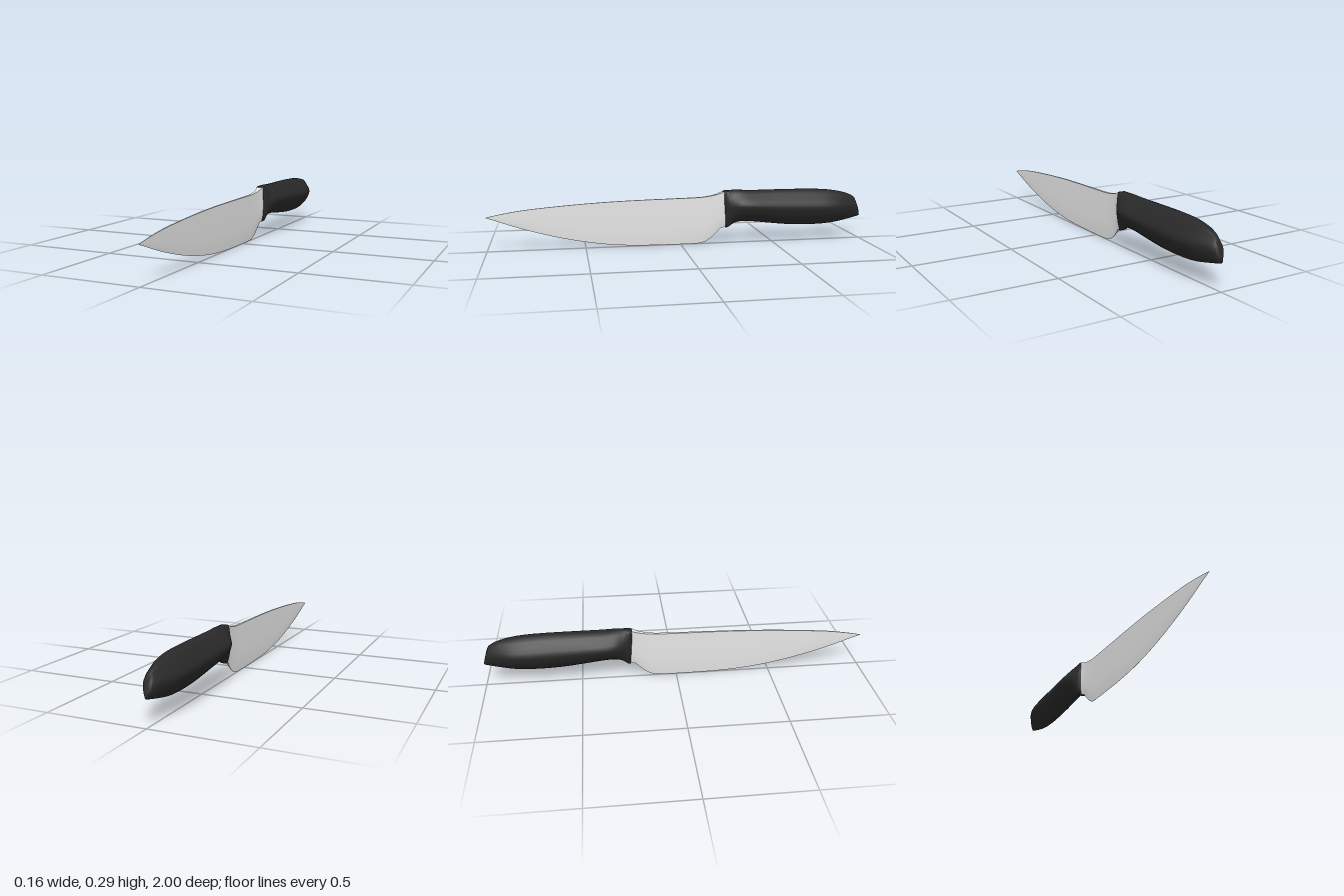
import * as THREE from 'three';
import { toCreasedNormals } from 'three/addons/utils/BufferGeometryUtils.js';

// Lofts a ring of points through rows [z, top, bottom, halfWidth, extra], smoothing between rows.
function loft(rows, section, steps, crease) {
  const smooth = (pick) => new THREE.CatmullRomCurve3(rows.map(pick), false, 'catmullrom', 0.5);
  const outline = smooth((r) => new THREE.Vector3(r[0], r[1], r[2]));
  const widths = smooth((r) => new THREE.Vector3(r[3], r[4], 0));
  const count = (rows.length - 1) * steps;
  const positions = [];
  const index = [];
  let n = 0;
  for (let i = 0; i <= count; i++) {
    const o = outline.getPoint(i / count);
    const w = widths.getPoint(i / count);
    const ring = section(o.x, o.y, o.z, Math.max(w.x, 0.0003), w.y);
    n = ring.length;
    ring.forEach((p) => positions.push(...p));
  }
  for (let i = 0; i < count; i++) {
    for (let j = 0; j < n; j++) {
      const a = i * n + j;
      const b = i * n + ((j + 1) % n);
      index.push(a, b, a + n, b, b + n, a + n);
    }
  }
  // End caps
  for (let j = 1; j < n - 1; j++) {
    index.push(0, j + 1, j);
    const e = count * n;
    index.push(e, e + j, e + j + 1);
  }
  const geometry = new THREE.BufferGeometry();
  geometry.setAttribute('position', new THREE.Float32BufferAttribute(positions, 3));
  geometry.setIndex(index);
  return toCreasedNormals(geometry, crease);
}

// Mirrors a half profile (top to bottom) into a closed ring.
const mirrored = (half) => [...half, ...half.slice().reverse().map(([x, y, z]) => [-x, y, z])];

// Handle half profile: [fraction of half width, fraction of height from the bottom]
const handleHalf = [
  [0.1, 1], [0.28, 0.985], [0.45, 0.9], [0.68, 0.78], [0.88, 0.67], [0.96, 0.6], [1, 0.53],
  [0.95, 0.45], [0.83, 0.33], [0.63, 0.2], [0.4, 0.09], [0.18, 0.01], [0.06, 0],
];

// Extra value = how far the bottom of the section leans back behind the top
const handleRows = [
  [-0.236, 0.282, 0.086, 0.023, 0.014],
  [-0.25, 0.285, 0.091, 0.037, 0.014],
  [-0.28, 0.287, 0.107, 0.057, 0.008],
  [-0.32, 0.286, 0.117, 0.074, 0],
  [-0.38, 0.283, 0.116, 0.081, 0],
  [-0.48, 0.283, 0.104, 0.08, 0],
  [-0.58, 0.283, 0.093, 0.08, 0],
  [-0.68, 0.282, 0.088, 0.08, 0],
  [-0.78, 0.278, 0.089, 0.08, 0],
  [-0.85, 0.27, 0.096, 0.072, 0.005],
  [-0.905, 0.26, 0.107, 0.055, 0.012],
  [-0.95, 0.246, 0.118, 0.037, 0.022],
  [-0.977, 0.23, 0.125, 0.024, 0.026],
  [-0.988, 0.205, 0.13, 0.013, 0.022],
];

// The teardrop section squares off at the front to meet the bolster
function handleSection(z, top, bottom, w, lean) {
  const power = 1 - 0.7 * THREE.MathUtils.smoothstep(z, -0.29, -0.236);
  return mirrored(handleHalf.map(([fx, fy]) =>
    [fx ** power * w, bottom + fy * (top - bottom), z + lean * (fy - 0.5)]));
}

// Extra value = width of the lower edge as a share of the spine width
const bladeRows = [
  [-0.255, 0.268, 0.105, 0.013, 0.5],
  [-0.235, 0.279, 0.09, 0.019, 0.5],
  [-0.215, 0.274, 0.082, 0.0155, 0.4],
  [-0.195, 0.267, 0.06, 0.012, 0.25],
  [-0.165, 0.26, 0.032, 0.0095, 0.1],
  [-0.13, 0.255, 0.011, 0.008, 0.04],
  [-0.09, 0.252, 0.003, 0.0072, 0.04],
  [0.02, 0.25, 0.002, 0.0062, 0.04],
  [0.2, 0.247, 0.004, 0.005, 0.04],
  [0.35, 0.243, 0.013, 0.0045, 0.04],
  [0.5, 0.236, 0.034, 0.004, 0.04],
  [0.65, 0.226, 0.066, 0.0035, 0.04],
  [0.8, 0.213, 0.108, 0.003, 0.04],
  [0.9, 0.199, 0.142, 0.002, 0.04],
  [0.96, 0.188, 0.164, 0.0012, 0.04],
  [1, 0.179, 0.177, 0.0004, 0.04],
];

function bladeSection(z, top, bottom, w, edge) {
  const h = top - bottom;
  const at = (f, y) => [w * (edge + (1 - edge) * f), y, z];
  // Rows run back to front, so the ring is reversed to face outward
  return mirrored([
    at(1, top), at(1, bottom + h * 0.65), at(0.93, bottom + h * 0.35),
    at(0.6, bottom + h * 0.15), at(0, bottom),
  ]).reverse();
}

export function createModel() {
  const steel = new THREE.MeshStandardMaterial({ name: 'steel', color: 0xe6e6e6 });
  const black = new THREE.MeshStandardMaterial({ name: 'black grip', color: 0x292929 });

  const model = new THREE.Group();
  model.name = 'kitchenKnife';

  // Rounded grip, running from front to back
  const handle = new THREE.Mesh(loft(handleRows, handleSection, 4, 0.9), black);
  handle.name = 'handle';

  // Blade with the thick bolster at its root
  const blade = new THREE.Mesh(loft(bladeRows, bladeSection, 4, 0.6), steel);
  blade.name = 'blade';

  model.add(handle, blade);
  return model;
}
